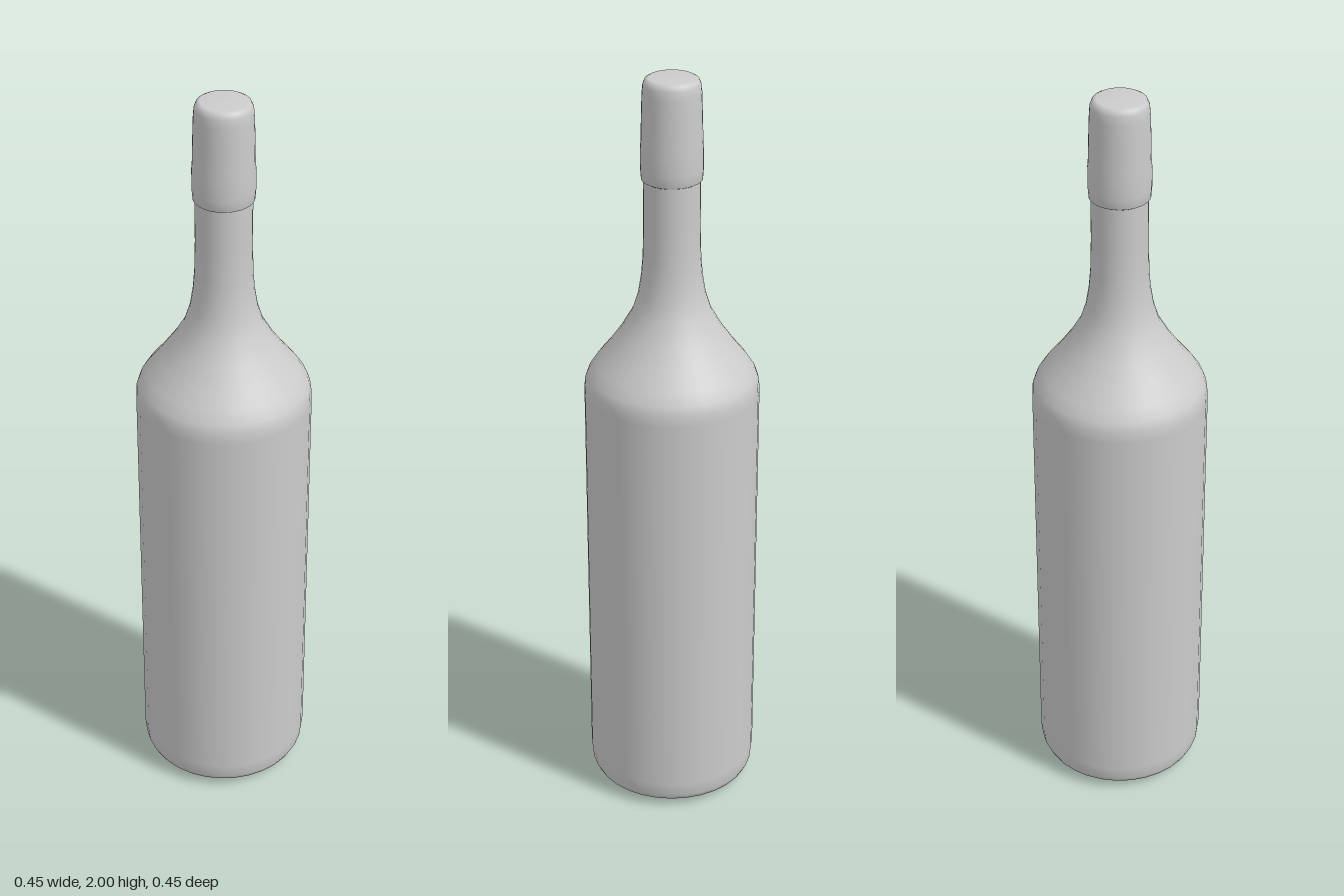
import * as THREE from 'three';

const SEGMENTS = 32;

function lathe(name, profile, material) {
  const points = profile.map(([r, y]) => new THREE.Vector2(r, y));
  const mesh = new THREE.Mesh(new THREE.LatheGeometry(points, SEGMENTS), material);
  mesh.name = name;
  return mesh;
}

export function createModel() {
  const group = new THREE.Group();
  group.name = 'bottle';
  const grey = new THREE.MeshStandardMaterial({ color: 0xcccccc, side: THREE.DoubleSide });

  // Base, straight body, sloping shoulder and slim neck
  group.add(lathe('bottleBody', [
    [0, 0], [0.12, 0.008], [0.195, 0.016], [0.213, 0.024], [0.221, 0.04], [0.225, 0.08],
    [0.225, 1.17], [0.223, 1.2], [0.215, 1.222], [0.196, 1.251], [0.165, 1.29],
    [0.13, 1.34], [0.1, 1.392], [0.085, 1.44], [0.077, 1.49], [0.073, 1.54], [0.071, 1.62],
    [0.071, 1.8],
  ], grey));

  // Sleeve around the top of the neck, closed by a softly rounded cap
  group.add(lathe('neckSleeve', [
    [0.071, 1.74], [0.076, 1.743], [0.078, 1.77], [0.078, 1.82], [0.076, 1.845],
    [0.075, 1.9], [0.073, 1.96], [0.071, 1.982], [0.066, 1.994], [0.057, 1.999], [0, 2],
  ], grey));

  return group;
}
